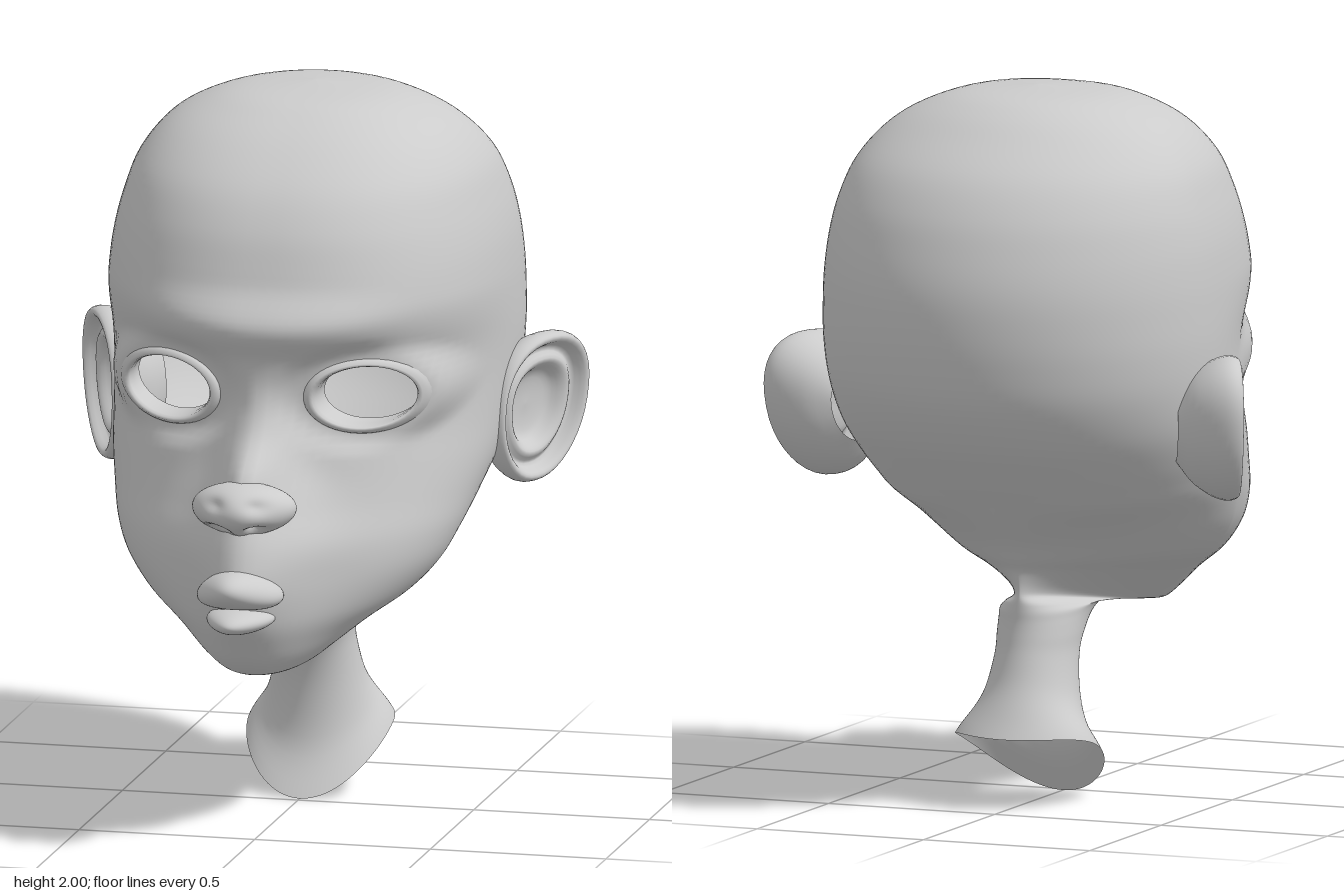
import * as THREE from 'three';

const material = new THREE.MeshStandardMaterial({ color: 0xcccccc, side: THREE.DoubleSide });
const { smoothstep, lerp, clamp } = THREE.MathUtils;

// Smooth interpolation through rows of numbers, t counted in rows
function sample(rows, t) {
  t = clamp(t, 0, rows.length - 1);
  const i = Math.min(Math.floor(t), rows.length - 2), f = t - i;
  const a = rows[Math.max(i - 1, 0)], b = rows[i], c = rows[i + 1], d = rows[Math.min(i + 2, rows.length - 1)];
  return b.map((v, k) => v + 0.5 * f * (c[k] - a[k] + f * (2 * a[k] - 5 * v + 4 * c[k] - d[k]
    + f * (3 * (v - c[k]) + d[k] - a[k]))));
}

// Skin over closed rings; point(ring, angle) gives each vertex
function loft(rings, sides, point, hidden = () => false) {
  const pos = [], index = [];
  for (let k = 0; k < rings; k++)
    for (let j = 0; j < sides; j++) pos.push(...point(k, (j / sides) * Math.PI * 2));
  for (let k = 0; k < rings - 1; k++)
    for (let j = 0; j < sides; j++) {
      const a = k * sides + j, b = k * sides + (j + 1) % sides;
      for (const tri of [[a, a + sides, b], [b, a + sides, b + sides]])
        if (!hidden(tri, pos)) index.push(...tri);
    }
  const g = new THREE.BufferGeometry();
  g.setAttribute('position', new THREE.Float32BufferAttribute(pos, 3));
  g.setIndex(index);
  return g;
}

function addMesh(parent, name, geometry) {
  geometry.computeVertexNormals();
  const mesh = new THREE.Mesh(geometry, material);
  mesh.name = name;
  parent.add(mesh);
  return mesh;
}

// Rings: front y, front z, back y, back z, half width, z of widest point
const skull = [
  [2.0, -0.2, 2.0, -0.2, 0.001, -0.2],
  [1.985, 0.0, 1.985, -0.38, 0.19, -0.2],
  [1.95, 0.11, 1.95, -0.48, 0.31, -0.21],
  [1.89, 0.22, 1.89, -0.57, 0.41, -0.23],
  [1.8, 0.33, 1.8, -0.68, 0.485, -0.26],
  [1.7, 0.4, 1.7, -0.75, 0.525, -0.28],
  [1.6, 0.44, 1.6, -0.79, 0.55, -0.28],
  [1.5, 0.47, 1.5, -0.815, 0.562, -0.28],
  [1.42, 0.48, 1.4, -0.82, 0.566, -0.28],
  [1.34, 0.46, 1.29, -0.81, 0.566, -0.28],
  [1.25, 0.45, 1.17, -0.78, 0.56, -0.26],
];
const face = [
  [1.15, 0.45, 1.05, -0.71, 0.55, -0.2],
  [1.05, 0.47, 0.95, -0.62, 0.533, -0.1],
  [0.95, 0.5, 0.87, -0.54, 0.507, 0.0],
  [0.85, 0.54, 0.8, -0.47, 0.48, 0.08],
  [0.75, 0.56, 0.74, -0.41, 0.44, 0.13],
  [0.65, 0.57, 0.69, -0.37, 0.37, 0.16],
  [0.57, 0.56, 0.66, -0.345, 0.28, 0.18],
  [0.5, 0.545, 0.63, -0.335, 0.2, 0.2],
  [0.47, 0.5, 0.6, -0.33, 0.15, 0.2],
];
const neck = [
  [0.5, 0.36, 0.57, -0.33, 0.125, 0.05],
  [0.54, 0.2, 0.54, -0.33, 0.12, -0.1],
  [0.525, 0.08, 0.51, -0.33, 0.115, -0.15],
  [0.47, -0.01, 0.47, -0.335, 0.113, -0.18],
  [0.4, -0.07, 0.42, -0.345, 0.113, -0.2],
  [0.28, -0.098, 0.34, -0.37, 0.13, -0.23],
  [0.13, -0.088, 0.26, -0.41, 0.165, -0.26],
  [0.0, -0.02, 0.2, -0.445, 0.205, -0.27],
];
const headRows = [...skull, ...face, ...neck];

// Forward swell of chin, muzzle, nose bridge and brow: amount and spread, every 0.1 from y = 0.45
const swell = [[0, 0.2], [0.06, 0.17], [0.12, 0.15], [0.17, 0.15], [0.17, 0.16], [0.17, 0.13],
  [0.18, 0.09], [0.08, 0.08], [0.03, 0.08], [0.02, 0.15], [0.04, 0.35], [0, 0.35]];

// Eye opening
const eye = { x: 0.28, y: 1.24, rx: 0.13, ry: 0.086 };
const hole = 1.1;
const eyeZ = (x, y) => {
  const d = Math.abs(x) - eye.x;
  return 0.355 - 0.5 * d - 0.8 * d * d + 0.1 * (y - eye.y);
};
const eyeRadius = (x, y) => Math.hypot((Math.abs(x) - eye.x) / eye.rx, (y - eye.y) / eye.ry);

function headPoint(row, angle) {
  const [yF, zF, yB, zB, w, zW] = row;
  const c = Math.cos(angle), s = Math.sin(angle);
  const e = c > 0 ? 1 - 0.15 * smoothstep(yF, 1.3, 1.5) : 1 + 0.4 * smoothstep(zW, 0, 0.18);
  const x = w * Math.sign(s) * Math.abs(s) ** e;
  let z = zW + (c > 0 ? zF - zW : zB - zW) * Math.abs(c) ** e;
  const t = zF - zB > 0.001 ? (zF - z) / (zF - zB) : 0;
  const bow = 0.06 * (1 - smoothstep(yF, 0, 0.3));
  const y = lerp(yF, yB, t) + bow * 4 * t * (1 - t);
  const [amount, spread] = sample(swell, (y - 0.45) / 0.1);
  z += amount * Math.exp(-((x / spread) ** 2)) * smoothstep(z, 0.25, 0.45);
  if (z > 0) z = lerp(eyeZ(x, y), z, smoothstep(eyeRadius(x, y), 1.3, 1.9));
  return [x, y, z];
}

function headGeometry() {
  const steps = 5, rings = (headRows.length - 1) * steps + 1;
  const inside = (x, y, z) => z > 0 && eyeRadius(x, y) < hole;
  const g = loft(rings, 112, (k, a) => headPoint(sample(headRows, k / steps), a),
    (tri, p) => tri.every(i => inside(p[i * 3], p[i * 3 + 1], p[i * 3 + 2])));
  // Pull the ragged edge of each opening onto a clean ellipse
  const p = g.attributes.position;
  for (let i = 0; i < p.count; i++) {
    const x = p.getX(i), y = p.getY(i);
    if (!inside(x, y, p.getZ(i))) continue;
    const f = hole / Math.max(eyeRadius(x, y), 0.01), side = Math.sign(x);
    const nx = side * (eye.x + (Math.abs(x) - eye.x) * f), ny = eye.y + (y - eye.y) * f;
    p.setXYZ(i, nx, ny, eyeZ(nx, ny));
  }
  return g;
}

// Eyelid rim rolling into a short socket: scale, depth
const lidRings = [[1.3, -0.012], [1.22, 0.008], [1.12, 0.02], [1.04, 0.018], [1, 0.004], [0.98, -0.03], [0.99, -0.1]];
const lidGeometry = () => loft(lidRings.length, 48, (k, a) => {
  const [scale, depth] = lidRings[k];
  const x = eye.x + eye.rx * scale * Math.cos(a), y = eye.y - eye.ry * scale * Math.sin(a);
  return [x, y, eyeZ(x, y) + depth];
});

// Ear cup from the stem over the rim into the bowl: scale, height along the ear's facing
const earRings = [[0.45, -0.15], [0.72, -0.11], [0.9, -0.065], [0.99, -0.025], [1, 0.005], [0.95, 0.025], [0.87, 0.02],
  [0.77, -0.015], [0.64, 0.002], [0.54, -0.01], [0.42, -0.04], [0.2, -0.05], [0.001, -0.05]];
const earGeometry = () => loft((earRings.length - 1) * 3 + 1, 40, (k, a) => {
  const [scale, n] = sample(earRings, k / 3);
  const cu = Math.cos(a), sv = -Math.sin(a);
  const v = 0.205 * scale * Math.sign(sv) * Math.abs(sv) ** 0.92;
  const u = scale * (0.185 * Math.sign(cu) * Math.abs(cu) ** 0.92 * (1 + 0.12 * sv) + 0.035 * sv);
  return [0.615 + 0.457 * u + 0.889 * n, 1.087 + v, -0.285 - 0.889 * u + 0.457 * n];
});

// Ball reshaped by a rule acting on the unit direction
function shapedBall(center, radii, rule) {
  const g = new THREE.SphereGeometry(1, 48, 32), p = g.attributes.position, d = new THREE.Vector3();
  for (let i = 0; i < p.count; i++) {
    d.fromBufferAttribute(p, i);
    rule(d);
    p.setXYZ(i, center[0] + d.x * radii[0], center[1] + d.y * radii[1], center[2] + d.z * radii[2]);
  }
  return g;
}

export function createModel() {
  const model = new THREE.Group();
  model.name = 'headBust';
  addMesh(model, 'headAndNeck', headGeometry());

  // Mirrored eyelids and ears
  for (const [name, side] of [['left', 1], ['right', -1]]) {
    addMesh(model, name + 'Eyelid', lidGeometry()).scale.x = side;
    addMesh(model, name + 'Ear', earGeometry()).scale.x = side;
  }

  // Nose: flared wings, nostril hollows and the crease above each wing
  addMesh(model, 'nose', shapedBall([0, 0.97, 0.645], [0.135, 0.073, 0.113], d => {
    const gap = (x, y, z) => (Math.abs(d.x) - x) ** 2 + (d.y - y) ** 2 + (d.z - z) ** 2;
    const dent = 0.45 * Math.exp(-gap(0.45, -0.72, 0.52) / 0.06) + 0.14 * Math.exp(-gap(0.55, 0.35, 0.75) / 0.08);
    d.multiplyScalar(1 - dent);
    d.x *= 1.05 - 0.3 * d.z;
  }));

  // Pursed lips tapering forward
  const taper = d => { d.x *= 1 - 0.35 * d.z; };
  addMesh(model, 'upperLip', shapedBall([0, 0.752, 0.7], [0.115, 0.055, 0.125], d => {
    d.y += 0.25 * d.z - 0.35 * d.x * d.x;
    taper(d);
  }));
  addMesh(model, 'lowerLip', shapedBall([0, 0.665, 0.69], [0.09, 0.034, 0.12], taper));
  return model;
}
